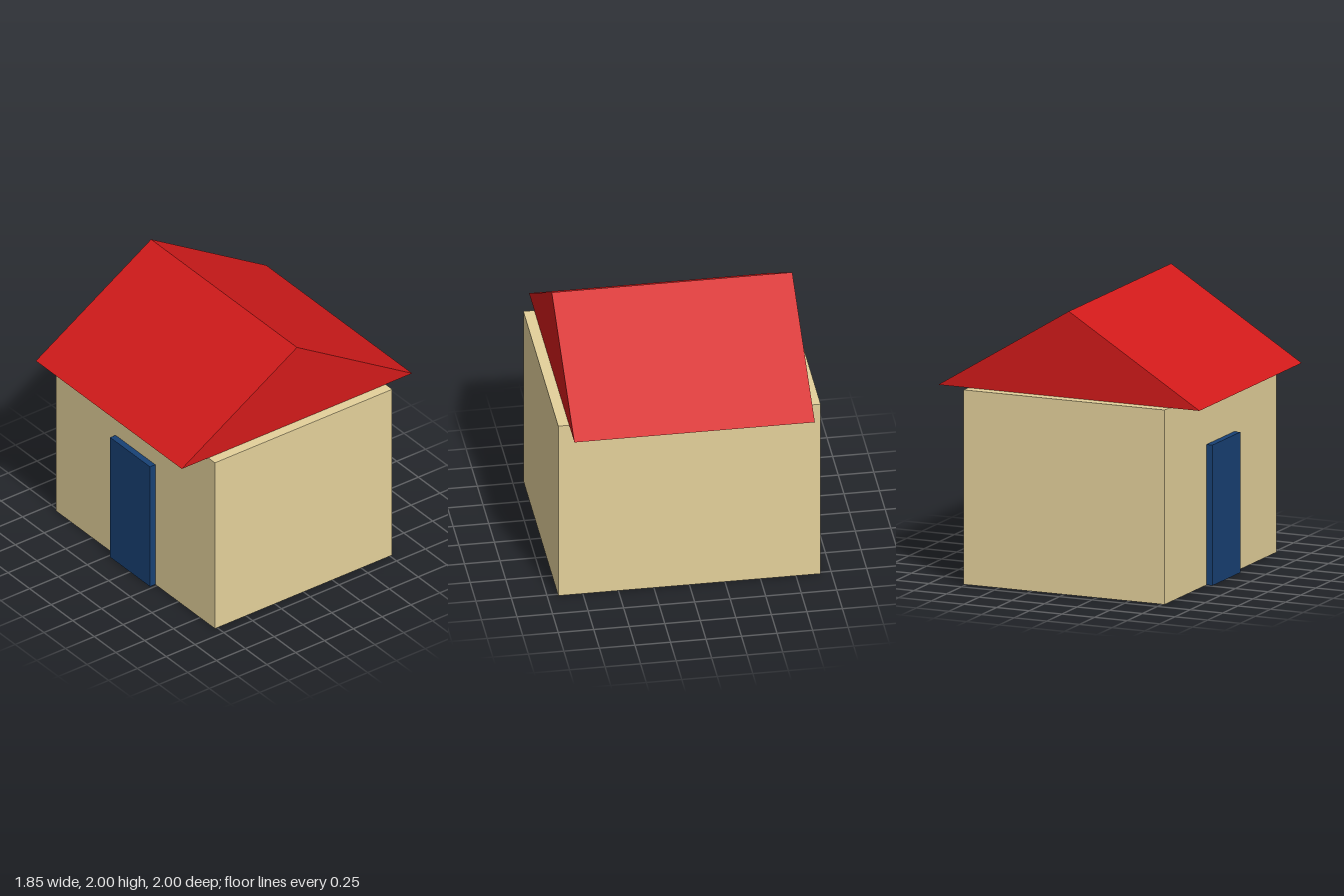
import * as THREE from 'three';

const U = 1 / 13; // the house is laid out on a 26-unit grid

function material(name, color) {
  const m = new THREE.MeshStandardMaterial({ color });
  m.name = name;
  return m;
}

export function createModel() {
  const house = new THREE.Group();
  house.name = 'house';

  const add = (name, geometry, mat, x, y, z) => {
    const mesh = new THREE.Mesh(geometry, mat);
    mesh.name = name;
    mesh.position.set(x, y, z);
    house.add(mesh);
  };

  const wallHeight = 18 * U;
  const wallDepth = 20 * U;

  // Plain block of walls
  add('walls', new THREE.BoxGeometry(24 * U, wallHeight, wallDepth),
    material('sand', 0xe4d19b), 0, wallHeight / 2, 0);

  // Gabled roof: triangle in z and y, extruded along x, overhanging front and back
  const gable = new THREE.Shape([
    new THREE.Vector2(-1, 0),
    new THREE.Vector2(1, 0),
    new THREE.Vector2(0, 8 * U),
  ]);
  const roofLength = 22 * U;
  const roof = new THREE.ExtrudeGeometry(gable, { depth: roofLength, bevelEnabled: false });
  roof.translate(0, 0, -roofLength / 2);
  roof.rotateY(Math.PI / 2);
  add('roof', roof, material('red', 0xd21a1a), 0, wallHeight, 0);

  // Door slab standing proud of the front wall
  const doorThickness = 0.046;
  add('door', new THREE.BoxGeometry(6 * U, 1, doorThickness),
    material('navy blue', 0x184175), 0, 0.5, wallDepth / 2 + doorThickness / 2);

  return house;
}
